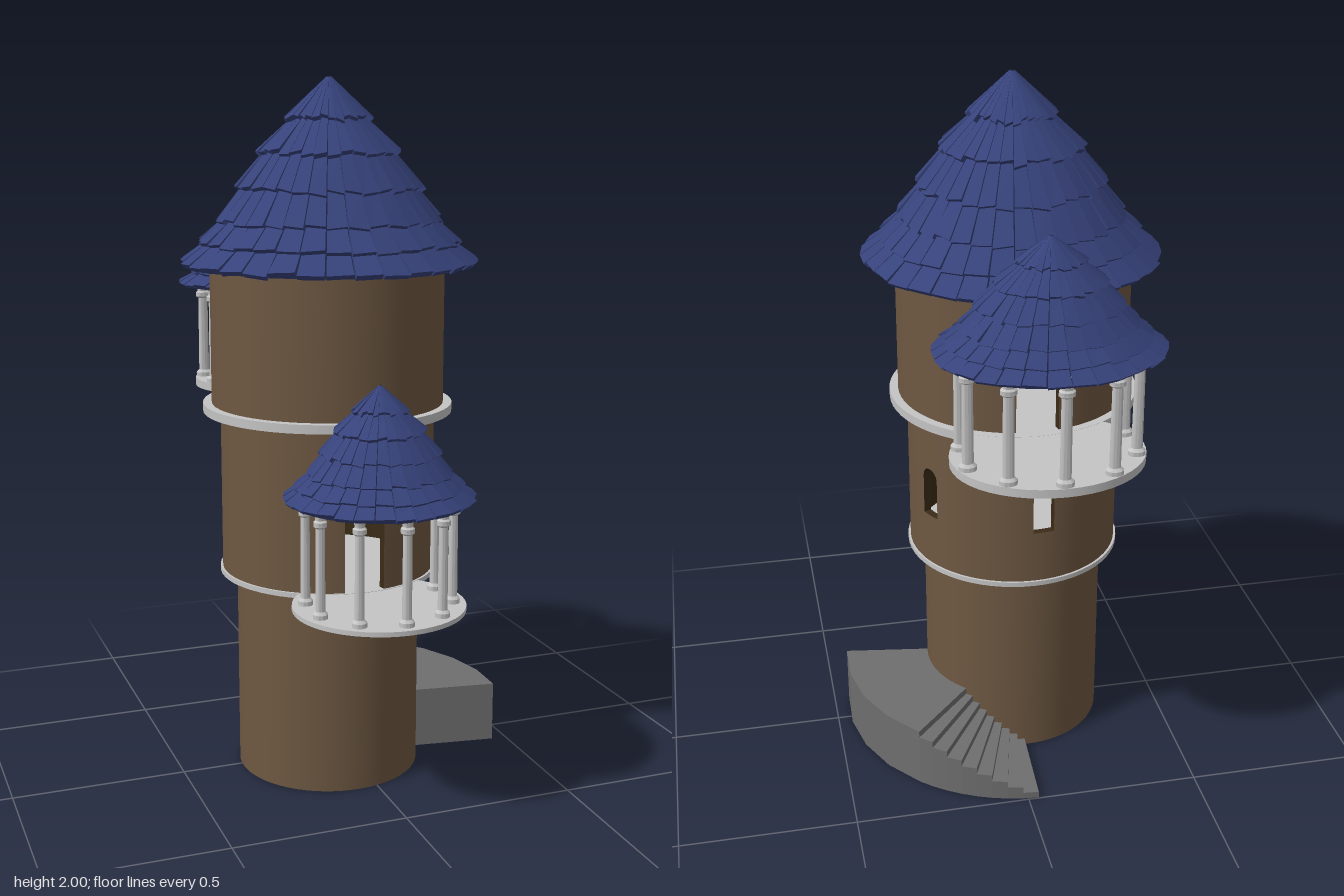
import * as THREE from 'three';
import { toCreasedNormals } from 'three/addons/utils/BufferGeometryUtils.js';

const paint = (name, color, side = THREE.FrontSide) => {
  const m = new THREE.MeshStandardMaterial({ color, side });
  m.name = name;
  return m;
};

export function createModel() {
  const wallBrown = paint('wallBrown', 0x6e5842);
  const darkBrown = paint('darkBrown', 0x3a2b16);
  const slateBlue = paint('slateBlue', 0x36427a);
  const underBlue = paint('underBlue', 0x1b2140, THREE.DoubleSide);
  const paleStone = paint('paleStone', 0xc4c4c4);
  const stairGrey = paint('stairGrey', 0x6e6e6e);

  const model = new THREE.Group();
  const tower = new THREE.Group();
  tower.name = 'tower';
  tower.position.set(-0.057, 0, 0.02);
  model.add(tower);

  const add = (parent, name, geo, mat, x = 0, y = 0, z = 0) => {
    const m = new THREE.Mesh(geo, mat);
    m.name = name;
    m.position.set(x, y, z);
    parent.add(m);
    return m;
  };
  let seed = 7;
  const rnd = () => (seed = (seed * 16807) % 2147483647) / 2147483647;

  // Collects quads, corners counter-clockwise from the front
  const quads = () => {
    const p = [];
    return {
      quad: (a, b, c, d) => { for (const v of [a, b, c, a, c, d]) p.push(...v); },
      build: () => {
        const g = new THREE.BufferGeometry();
        g.setAttribute('position', new THREE.Float32BufferAttribute(p, 3));
        g.computeVertexNormals();
        return g;
      },
    };
  };
  const polar = (r, a, y) => [r * Math.sin(a), y, r * Math.cos(a)];

  // Hollow round wall with arched openings {a: angle, w: half angle, lo, hi}
  const wall = (name, r, y0, y1, openings, innerMat) => {
    const t = 0.022, ri = r - t;
    let angles = [];
    for (let i = 0; i < 64; i++) angles.push((i / 64) * Math.PI * 2 - 0.5);
    for (const o of openings) {
      angles = angles.filter((a) => Math.abs(a - o.a) > o.w + 0.01);
      for (let i = 0; i <= 12; i++) angles.push(o.a - o.w * Math.cos((i / 12) * Math.PI));
    }
    angles.sort((a, b) => a - b);
    angles.push(angles[0] + Math.PI * 2);
    const out = quads(), inn = quads(), rev = quads();
    const panel = (a, b, la, lb, ha, hb) => {
      out.quad(polar(r, a, la), polar(r, b, lb), polar(r, b, hb), polar(r, a, ha));
      inn.quad(polar(ri, b, lb), polar(ri, a, la), polar(ri, a, ha), polar(ri, b, hb));
    };
    for (let i = 0; i + 1 < angles.length; i++) {
      const a = angles[i], b = angles[i + 1], mid = (a + b) / 2;
      rev.quad(polar(ri, a, y0), polar(ri, b, y0), polar(r, b, y0), polar(r, a, y0));
      const o = openings.find((q) => Math.abs(mid - q.a) < q.w);
      if (!o) { panel(a, b, y0, y0, y1, y1); continue; }
      const rise = o.w * r;
      const top = (q) => o.hi - rise + rise * Math.sqrt(Math.max(0, 1 - ((q - o.a) / o.w) ** 2));
      const ta = top(a), tb = top(b);
      if (o.lo > y0) panel(a, b, y0, y0, o.lo, o.lo);
      panel(a, b, ta, tb, y1, y1);
      rev.quad(polar(r, a, o.lo), polar(r, b, o.lo), polar(ri, b, o.lo), polar(ri, a, o.lo));
      rev.quad(polar(ri, a, ta), polar(ri, b, tb), polar(r, b, tb), polar(r, a, ta));
    }
    for (const o of openings) {
      const h = o.hi - o.w * r, a = o.a - o.w, b = o.a + o.w;
      rev.quad(polar(r, a, o.lo), polar(ri, a, o.lo), polar(ri, a, h), polar(r, a, h));
      rev.quad(polar(ri, b, o.lo), polar(r, b, o.lo), polar(r, b, h), polar(ri, b, h));
    }
    add(tower, name, toCreasedNormals(out.build(), 0.6), wallBrown);
    add(tower, name + 'Lining', toCreasedNormals(inn.build(), 0.6), innerMat);
    add(tower, name + 'Reveals', rev.build(), darkBrown);
  };
  wall('lowerWall', 0.265, 0, 0.595, [], wallBrown);
  wall('middleWall', 0.307, 0.6, 1.07, [
    { a: 0, w: 0.19, lo: 0.6, hi: 0.9 },
    { a: 2.06, w: 0.1, lo: 0.76, hi: 0.91 },
    { a: 3.23, w: 0.1, lo: 0.76, hi: 0.91 },
  ], darkBrown);
  wall('upperWall', 0.332, 1.08, 1.53, [{ a: Math.PI, w: 0.18, lo: 1.08, hi: 1.39 }], darkBrown);

  // Stone ledges, which are also the floors
  add(tower, 'lowerLedge', new THREE.CylinderGeometry(0.314, 0.314, 0.014, 64), paleStone, 0, 0.599, 0);
  add(tower, 'upperLedge', new THREE.CylinderGeometry(0.357, 0.357, 0.025, 64), paleStone, 0, 1.078, 0);

  // Shingled cone; a gap (radians) can be left open towards -z
  const radii = [0.008, 0.1, 0.18, 0.243, 0.298, 0.35, 0.402];
  const heights = [0.517, 0.405, 0.312, 0.215, 0.127, 0.062, 0.008];
  const roof = (parent, name, count, s, gap) => {
    const g = new THREE.Group();
    g.name = name;
    parent.add(g);
    const q = quads(), th = 0.02 * Math.sqrt(s), step = (Math.PI * 2) / count;
    for (let k = 0; k < 6; k++) {
      for (let i = 0; i < count; i++) {
        const mid = (i + 0.5) * step - Math.PI;
        if (Math.PI - Math.abs(mid) < gap) continue;
        const a = mid - step * 0.47, b = mid + step * 0.47;
        const dr = (radii[k + 1] - radii[k]) * s, dy = (heights[k + 1] - heights[k]) * s;
        const len = Math.hypot(dr, dy), nr = -dy / len, ny = dr / len;
        const ext = 1.0 + rnd() * 0.13, tilt = (rnd() - 0.5) * 0.1, lift = th * (0.75 + rnd() * 0.4);
        const P = (ang, f, n) => polar(radii[k] * s + dr * f + nr * n, ang, heights[k] * s + dy * f + ny * n);
        const fa = ext + tilt, fb = ext - tilt, u = k ? 0.25 * th : 0;
        const A = P(a, fa, lift), B = P(b, fb, lift), C = P(b, 0, u), D = P(a, 0, u);
        const E = P(a, fa, 0), F = P(b, fb, 0), G = P(b, 0, 0), H = P(a, 0, 0);
        q.quad(A, B, C, D);
        q.quad(F, E, H, G);
        q.quad(E, F, B, A);
        q.quad(F, G, C, B);
        q.quad(H, E, A, D);
      }
    }
    add(g, name + 'Shingles', q.build(), slateBlue);
    const profile = radii.map((r, i) => new THREE.Vector2(r * s * 0.985, heights[i] * s - 0.004)).reverse();
    add(g, name + 'Underlay', new THREE.LatheGeometry(profile, count, gap - Math.PI, 2 * (Math.PI - gap)), underBlue);
    return g;
  };
  roof(model, 'mainRoof', 34, 1, 0).position.set(-0.055, 1.48, 0.033);

  // Balcony: platform, columns, arches and its own roof, facing +z
  const columnProfile = [[0, 0], [0.02, 0], [0.02, 0.012], [0.013, 0.02], [0.012, 0.245], [0.018, 0.25],
    [0.018, 0.262], [0.013, 0.267], [0.016, 0.285], [0.026, 0.31], [0, 0.31]].map((v) => new THREE.Vector2(...v));
  const columnGeo = toCreasedNormals(new THREE.LatheGeometry(columnProfile, 12), 0.6);
  const archGeo = new THREE.TorusGeometry(0.055, 0.009, 6, 14, Math.PI);
  const balcony = (name, y, z, turn, sx, platformR, thick) => {
    const g = new THREE.Group();
    g.name = name;
    g.position.set(-0.057, y, z);
    g.rotation.y = turn;
    g.scale.x = sx;
    model.add(g);
    add(g, 'platform', new THREE.CylinderGeometry(platformR, platformR, thick, 48), paleStone, 0, -thick / 2, 0);
    for (let i = -3; i <= 3; i++) {
      const a = (i * Math.PI) / 5, r = 0.195;
      add(g, 'column', columnGeo, paleStone, ...polar(r, a, 0));
      if (i === 3) continue;
      const m = a + Math.PI / 10;
      const arch = add(g, 'arch', archGeo, paleStone, ...polar(r * 0.95, m, 0.272));
      arch.rotation.y = m;
      arch.scale.y = 0.65;
    }
    roof(g, 'balconyRoof', 30, 0.6, 0.3).position.y = 0.288;
  };
  balcony('frontBalcony', 0.605, 0.43, 0, 1.02, 0.232, 0.013);
  balcony('backBalcony', 1.09, -0.43, Math.PI, 1.22, 0.216, 0.024);

  // Curved staircase: landing and descending wedge steps around the wall
  const stairs = new THREE.Group();
  stairs.name = 'stairs';
  tower.add(stairs);
  const wedge = (name, a0, a1, h, segs) => {
    const shape = new THREE.Shape();
    for (let i = 0; i <= segs; i++) {
      const a = a0 + ((a1 - a0) * i) / segs;
      shape.lineTo(0.518 * Math.cos(a), 0.518 * Math.sin(a));
    }
    for (let i = segs; i >= 0; i--) {
      const a = a0 + ((a1 - a0) * i) / segs;
      shape.lineTo(0.255 * Math.cos(a), 0.255 * Math.sin(a));
    }
    const geo = new THREE.ExtrudeGeometry(shape, { depth: h, bevelEnabled: false });
    geo.rotateX(-Math.PI / 2);
    add(stairs, name, geo, stairGrey);
  };
  const deg = Math.PI / 180;
  wedge('landing', -8.5 * deg, 47 * deg, 0.18, 4);
  for (let i = 0; i < 8; i++) wedge('step', (47 + i * 5) * deg, (52 + i * 5) * deg, 0.16 - i * 0.02, 1);

  return model;
}
